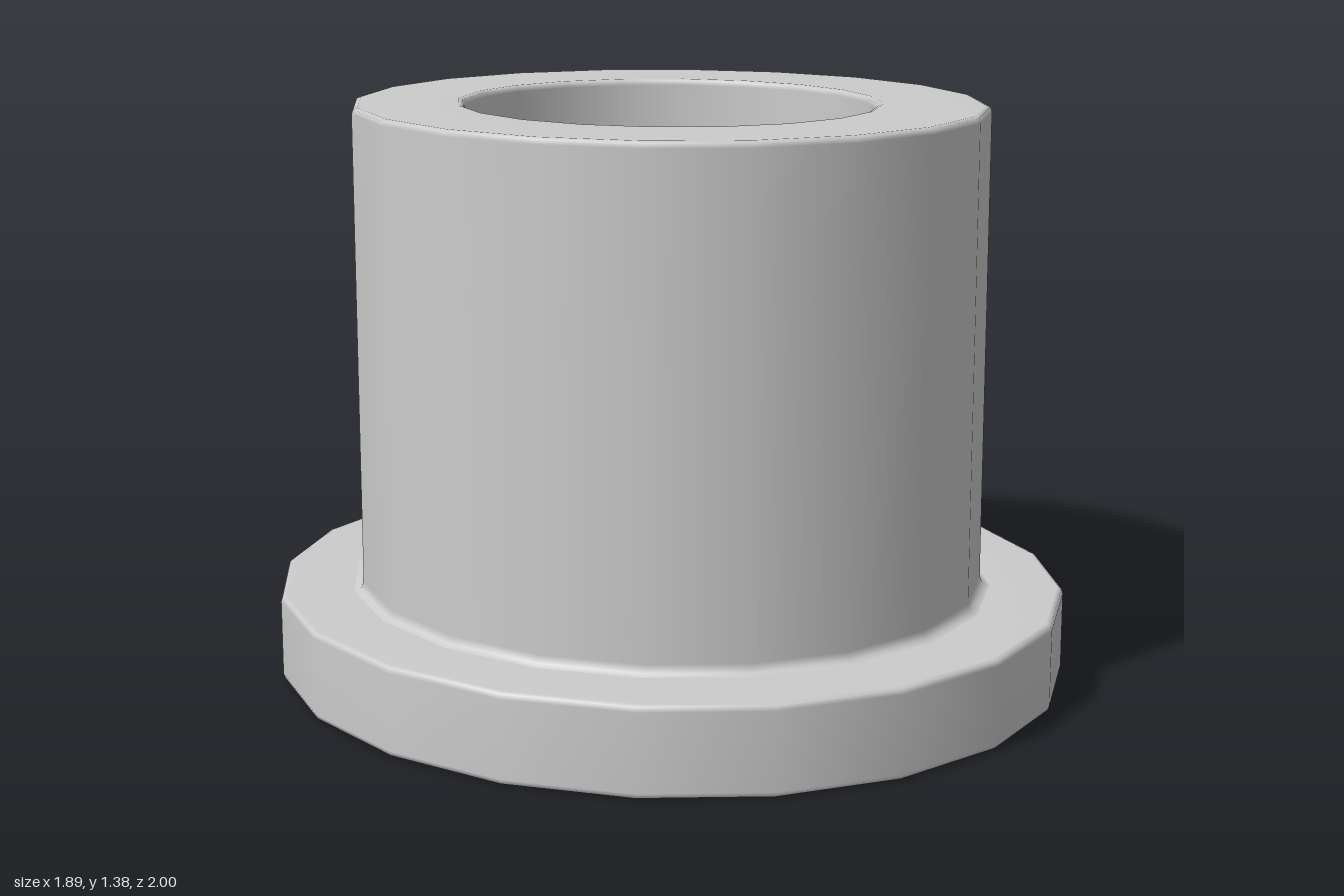
import * as THREE from 'three';

const SIDES = 20;
const SQUASH = 0.945; // the cross-section is slightly narrower in x

// Lathe a profile of [radius, height] points into a slightly oval solid
function turned(name, profile) {
  const points = profile.map(([r, y]) => new THREE.Vector2(r, y));
  const geometry = new THREE.LatheGeometry(points, SIDES);
  geometry.scale(SQUASH, 1, 1);
  const mesh = new THREE.Mesh(geometry, new THREE.MeshStandardMaterial({ color: 0xcccccc }));
  mesh.name = name;
  return mesh;
}

export function createModel() {
  const group = new THREE.Group();
  group.name = 'flangedBushing';

  // Base flange: closed underside, softened rims, open where the sleeve joins
  group.add(turned('flange', [
    [0, 0], [0.985, 0], [0.996, 0.004], [1, 0.015],
    [1, 0.197], [0.996, 0.208], [0.985, 0.212], [0.815, 0.212],
  ]));

  // Sleeve: small fillet at the base, rounded top rim, blind bore with a floor
  group.add(turned('sleeve', [
    [0.815, 0.212], [0.798, 0.217], [0.791, 0.235],
    [0.791, 1.365], [0.787, 1.376], [0.776, 1.38],
    [0.527, 1.38], [0.516, 1.376], [0.513, 1.365],
    [0.513, 0.222], [0.503, 0.212], [0, 0.212],
  ]));

  return group;
}
